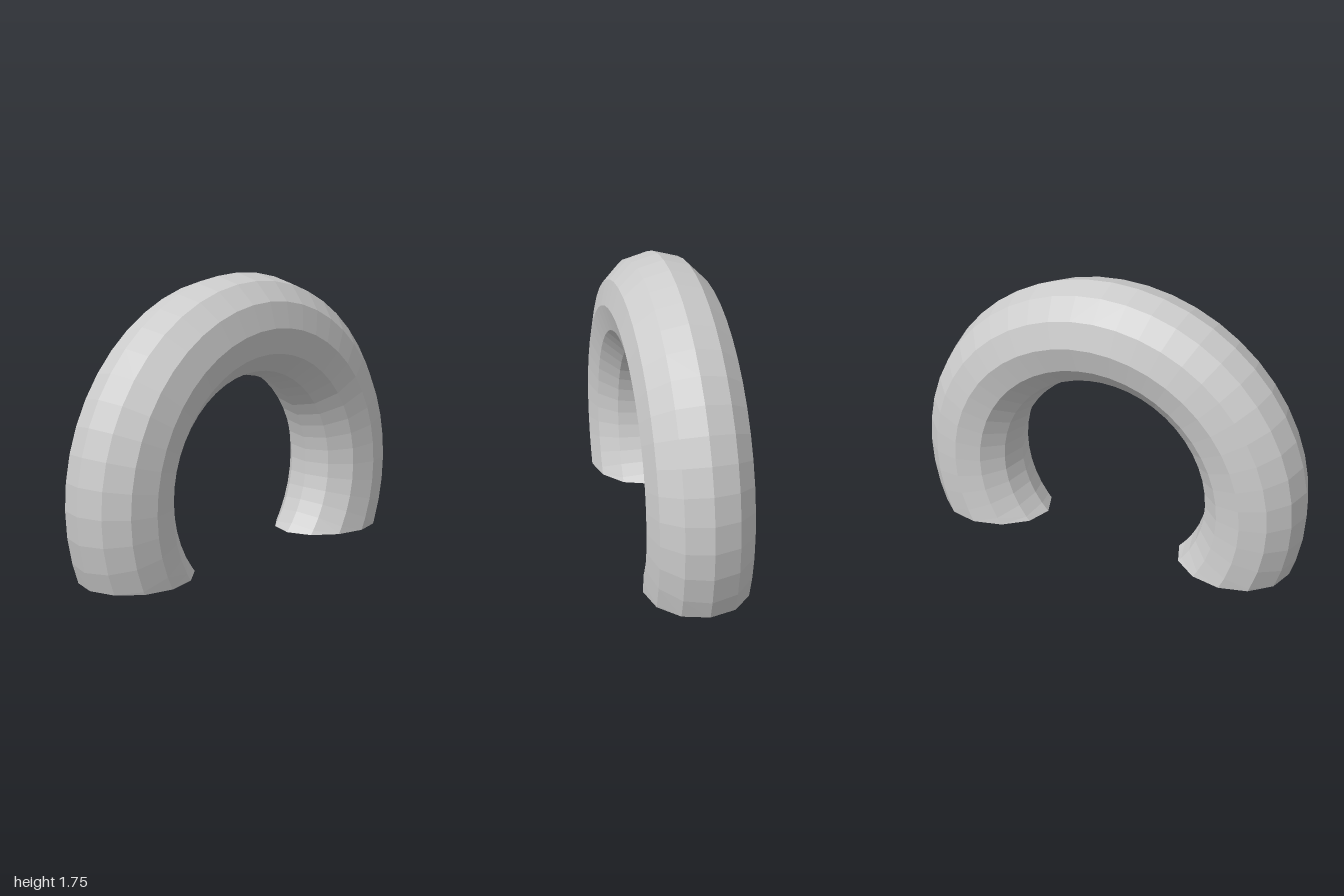
import * as THREE from 'three';

const R = 0.977;      // ring radius
const r = 0.32;       // tube radius
const CY = 0.453;     // height of the ring centre above the ground
const SIDES = 12;     // facets around the tube
const STEP = Math.PI / 24; // ring segment angle

// Point on the ring; each lengthwise line stops where it meets the ground
function ringPoint(k, j) {
  const v = (j % SIDES) * 2 * Math.PI / SIDES;
  const rho = R + r * Math.cos(v);
  const cut = Math.asin(CY / rho);
  const u = THREE.MathUtils.clamp(k * STEP, -cut, Math.PI + cut);
  return new THREE.Vector3(rho * Math.cos(u), CY + rho * Math.sin(u), r * Math.sin(v));
}

function meshFrom(triangles, name, material) {
  const points = triangles.flat();
  const geometry = new THREE.BufferGeometry().setFromPoints(points);
  geometry.computeVertexNormals();
  const mesh = new THREE.Mesh(geometry, material);
  mesh.name = name;
  return mesh;
}

export function createModel() {
  const model = new THREE.Group();
  model.name = 'archRing';
  const material = new THREE.MeshStandardMaterial({ color: 0xcccccc, flatShading: true });

  // Faceted tube, dropping triangles that collapse at the ground cut
  const tube = [];
  const add = (a, b, c) => {
    const area = b.clone().sub(a).cross(c.clone().sub(a)).length();
    if (area > 1e-7) tube.push([a, b, c]);
  };
  for (let k = -6; k < 30; k++) {
    for (let j = 0; j < SIDES; j++) {
      const a = ringPoint(k, j), b = ringPoint(k + 1, j);
      const c = ringPoint(k + 1, j + 1), d = ringPoint(k, j + 1);
      add(a, b, c);
      add(a, c, d);
    }
  }
  model.add(meshFrom(tube, 'archTube', material));

  // Flat feet closing both ends on the ground
  for (const side of [1, -1]) {
    const k = side > 0 ? -6 : 30;
    const centre = new THREE.Vector3(side * Math.sqrt(R * R - CY * CY), 0, 0);
    const foot = [];
    for (let j = 0; j < SIDES; j++) {
      const p = ringPoint(k, j), q = ringPoint(k, j + 1);
      foot.push(side > 0 ? [centre, p, q] : [centre, q, p]);
    }
    model.add(meshFrom(foot, side > 0 ? 'leftFoot' : 'rightFoot', material));
  }

  // The arch stands diagonally
  model.rotation.y = Math.PI / 4;
  return model;
}
